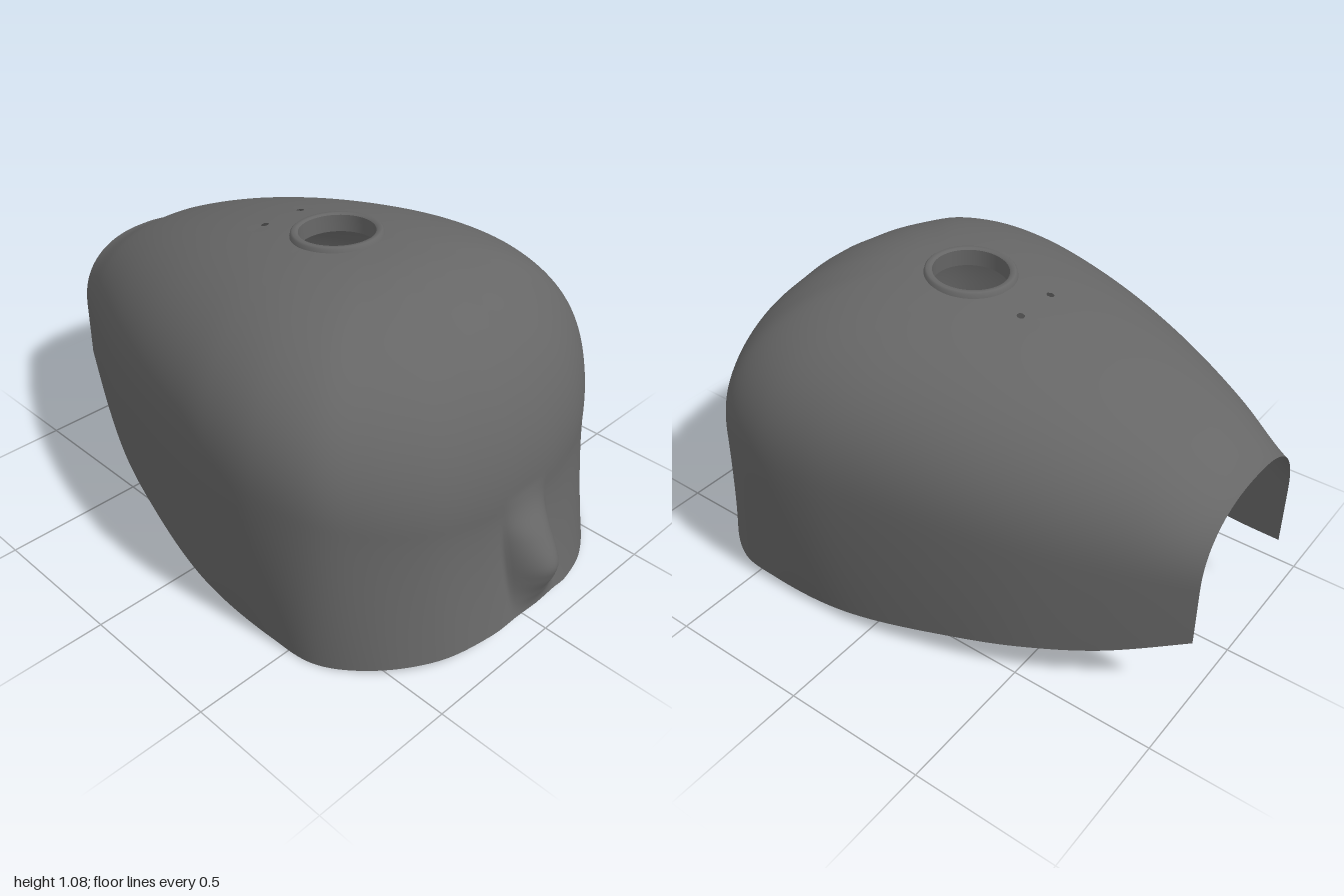
import * as THREE from 'three';
import { mergeVertices, toCreasedNormals } from 'three/addons/utils/BufferGeometryUtils.js';

// Stations from the open back to the centre of the front:
// waist x, y, z | rim x, y, z | ridge z | roundness exponent
const STATIONS = [
  [0.29, 0.48, -1.0, 0.29, 0.275, -1.0, -1.0, 2.4],
  [0.415, 0.5, -0.75, 0.405, 0.18, -0.75, -0.75, 2.4],
  [0.525, 0.52, -0.5, 0.51, 0.13, -0.5, -0.52, 2.4],
  [0.61, 0.54, -0.25, 0.585, 0.09, -0.25, -0.32, 2.45],
  [0.672, 0.55, 0.0, 0.64, 0.05, 0.0, -0.14, 2.5],
  [0.703, 0.55, 0.2, 0.66, 0.025, 0.2, 0.0, 2.5],
  [0.697, 0.55, 0.4, 0.655, 0.008, 0.42, 0.1, 2.45],
  [0.64, 0.53, 0.58, 0.63, 0.0, 0.6, 0.16, 2.35],
  [0.53, 0.5, 0.7, 0.52, 0.008, 0.755, 0.2, 2.2],
  [0.37, 0.47, 0.8, 0.36, 0.02, 0.87, 0.23, 2.1],
  [0.2, 0.45, 0.85, 0.2, 0.05, 0.93, 0.245, 2.05],
  [0.09, 0.45, 0.868, 0.09, 0.078, 0.95, 0.249, 2.05],
  [0, 0.45, 0.87, 0, 0.08, 0.955, 0.25, 2.05],
];
// Ridge height along z, and height of the front bulge along y
const RIDGE = [[-1, 0.73], [-0.8, 0.838], [-0.6, 0.922], [-0.4, 0.985], [-0.2, 1.03], [0, 1.058], [0.15, 1.066], [0.3, 1.066]];
const BULGE = [[0.08, 0], [0.14, 0.035], [0.22, 0.09], [0.27, 0.104], [0.35, 0.068], [0.42, 0.022], [0.49, 0]];

function cubic(a, b, c, d, t) {
  const m0 = (c - a) / 2, m1 = (d - b) / 2;
  return (2 * b - 2 * c + m0 + m1) * t ** 3 + (-3 * b + 3 * c - 2 * m0 - m1) * t * t + m0 * t + b;
}

function sampleStation(f) {
  const last = STATIONS.length - 1;
  const k = Math.min(Math.floor(f), last - 1);
  const at = (i) => STATIONS[Math.max(0, Math.min(last, i))];
  return STATIONS[0].map((_, j) => cubic(at(k - 1)[j], at(k)[j], at(k + 1)[j], at(k + 2)[j], f - k));
}

function curveAt(points, s) {
  const last = points.length - 1;
  if (s <= points[0][0]) return points[0][1];
  if (s >= points[last][0]) return points[last][1];
  const k = points.findIndex((p) => p[0] > s) - 1;
  const y = (i) => points[Math.max(0, Math.min(last, i))][1];
  const t = (s - points[k][0]) / (points[k + 1][0] - points[k][0]);
  return cubic(y(k - 1), y(k), y(k + 1), y(k + 2), t);
}

// Holes: centre, grid radius cleared, radius blended, final radius
const HOLES = [
  { x: 0, z: 0.055, clear: 0.14, blend: 0.14, r: 0.14 },
  { x: 0.08, z: -0.2, clear: 0.032, blend: 0.065, r: 0.013 },
  { x: -0.08, z: -0.2, clear: 0.032, blend: 0.065, r: 0.013 },
];

function shellGeometry() {
  const half = 150, lower = 32, upper = 80, rows = lower + upper;
  const cols = half * 2 + 1;
  const pos = [], inside = [], index = [];
  const stations = [];
  for (let i = 0; i <= half; i++) stations.push(sampleStation((1 - i / half) * (STATIONS.length - 1)));

  for (let r = 0; r <= rows; r++) {
    for (let c = -half; c <= half; c++) {
      const [wx, wy, wz, rx, ry, rz, ridgeZ, n] = stations[Math.abs(c)];
      let x, y, z;
      if (r <= lower) { // skirt from rim to waist
        const t = r / lower, k = (1 - t) ** 1.6;
        x = wx + (rx - wx) * k;
        y = ry + (wy - ry) * t;
        z = wz + (rz - wz) * k;
      } else { // rounded shoulder from waist to ridge
        const a = ((r - lower) / upper) * Math.PI / 2;
        const out = r === rows ? 0 : Math.cos(a) ** (2 / n);
        x = wx * out;
        y = wy + (curveAt(RIDGE, ridgeZ) - wy) * Math.sin(a) ** (2 / n);
        z = ridgeZ + (wz - ridgeZ) * out;
      }
      x *= Math.sign(c);
      // bulge at the lower front
      if (z > 0.75 && Math.abs(x) < 0.105) {
        z += curveAt(BULGE, y) * Math.max(0, 1 - (x / 0.105) ** 2);
      }
      // open the holes by pushing nearby points to their edges
      let hit = 0;
      if (y > 0.9) HOLES.forEach((h, i) => {
        const dx = x - h.x, dz = z - h.z, d = Math.hypot(dx, dz);
        if (d > h.blend) return;
        if (d < h.clear) hit = i + 1;
        const span = Math.max(1e-6, h.blend - h.clear);
        const nd = h.r + (Math.max(d, h.clear) - h.clear) / span * (h.blend - h.r);
        const s = nd / Math.max(d, 1e-6);
        const nz = h.z + dz * s;
        y += curveAt(RIDGE, nz) - curveAt(RIDGE, z);
        x = h.x + dx * s;
        z = nz;
      });
      pos.push(x, y, z);
      inside.push(hit);
    }
  }
  const face = (a, b, c) => {
    if (!(inside[a] && inside[b] && inside[c])) index.push(a, b, c);
  };
  for (let r = 0; r < rows; r++) {
    for (let c = 0; c < cols - 1; c++) {
      const a = r * cols + c, d = a + cols;
      face(a, a + 1, d + 1);
      face(a, d + 1, d);
    }
  }
  let g = new THREE.BufferGeometry();
  g.setAttribute('position', new THREE.Float32BufferAttribute(pos, 3));
  g.setIndex(index);
  g = mergeVertices(g, 1e-5);
  g.computeVertexNormals();
  return g;
}

export function createModel() {
  const group = new THREE.Group();
  group.name = 'tankCover';
  const grey = new THREE.MeshStandardMaterial({ color: 0x666666, side: THREE.DoubleSide });
  grey.name = 'darkGrey';

  const shell = new THREE.Mesh(shellGeometry(), grey);
  shell.name = 'shell';
  group.add(shell);

  // raised collar with a short neck around the filler opening
  const profile = [[0.155, -0.014], [0.15, 0.008], [0.144, 0.013], [0.131, 0.013], [0.125, 0.008], [0.125, -0.05]]
    .map(([x, y]) => new THREE.Vector2(x, y));
  const collar = new THREE.Mesh(toCreasedNormals(new THREE.LatheGeometry(profile, 64), 0.7), grey);
  collar.name = 'fillerCollar';
  collar.position.set(0, 1.059, 0.055);
  collar.rotation.x = -0.06;
  group.add(collar);

  return group;
}
